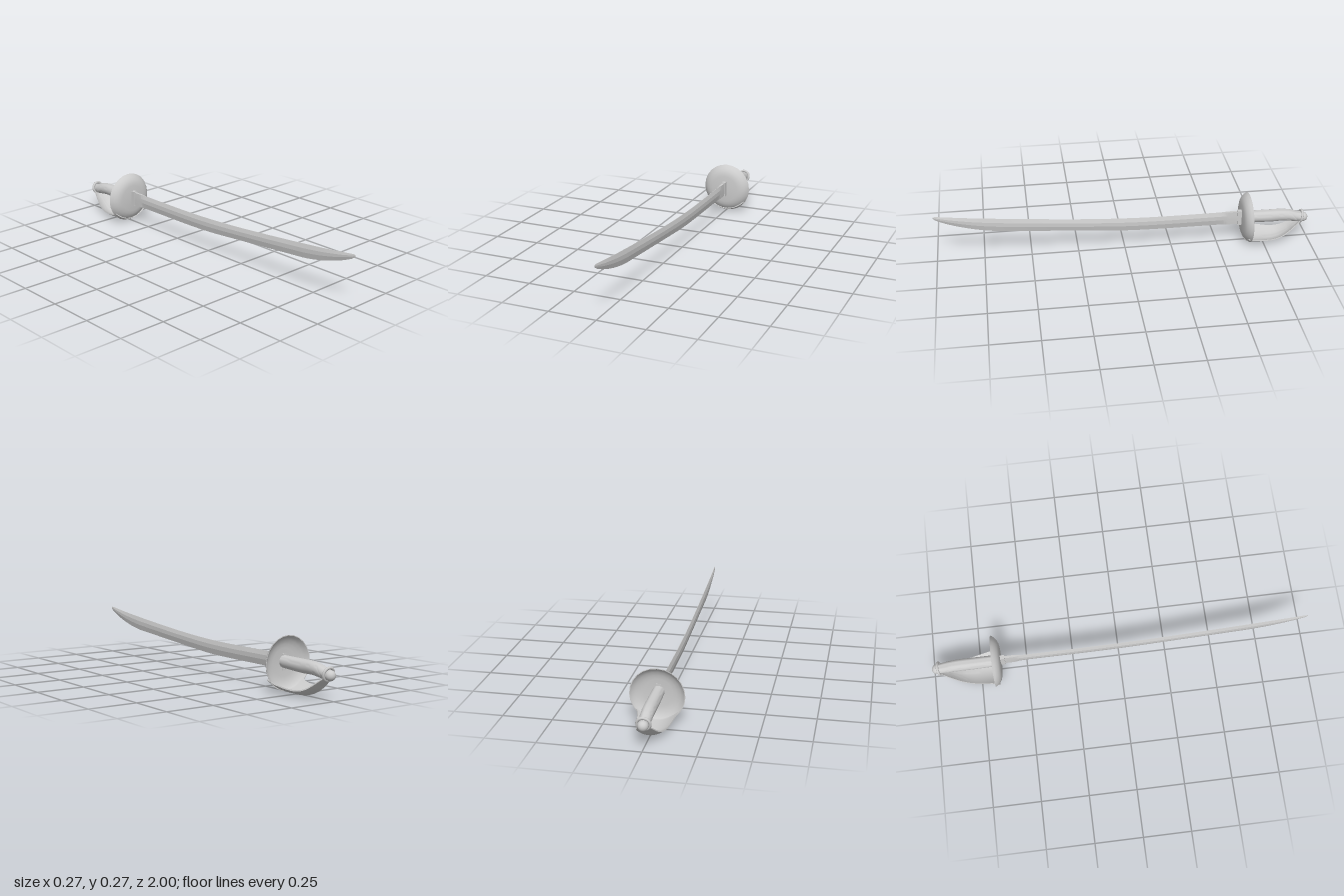
import * as THREE from 'three';
import { toCreasedNormals } from 'three/addons/utils/BufferGeometryUtils.js';

const material = new THREE.MeshStandardMaterial({ color: 0xcccccc, side: THREE.DoubleSide });

function add(group, name, geometry) {
  const mesh = new THREE.Mesh(geometry, material);
  mesh.name = name;
  group.add(mesh);
  return mesh;
}

// Smooth row of stations through a few key ones; each station is [z, a, b, ...].
function smooth(keys, steps) {
  const rows = [];
  for (let i = 0; i <= steps; i++) {
    const t = (i / steps) * (keys.length - 1);
    const k = Math.min(Math.floor(t), keys.length - 2);
    const f = t - k;
    const [p0, p1, p2, p3] = [k - 1, k, k + 1, k + 2].map(
      (n) => keys[THREE.MathUtils.clamp(n, 0, keys.length - 1)]);
    rows.push(p1.map((v, c) => {
      const m1 = (p2[c] - p0[c]) / 2, m2 = (p3[c] - p1[c]) / 2;
      return v + m1 * f + (3 * (p2[c] - v) - 2 * m1 - m2) * f * f
        + (2 * (v - p2[c]) + m1 + m2) * f * f * f;
    }));
  }
  return rows;
}

// Skin closed rings (counterclockwise seen from +z, ordered towards +z) and cap both ends.
function loft(rings, crease) {
  const n = rings[0].length, last = (rings.length - 1) * n, index = [];
  for (let i = 0; i < rings.length - 1; i++) {
    for (let j = 0; j < n; j++) {
      const a = i * n + j, b = i * n + (j + 1) % n;
      index.push(a, b, b + n, a, b + n, a + n);
    }
  }
  for (let j = 0; j < n / 2 - 1; j++) {
    const a = j, b = j + 1, c = n - 2 - j, d = n - 1 - j;
    index.push(a, c, b, a, d, c);
    index.push(last + a, last + b, last + c, last + a, last + c, last + d);
  }
  const g = new THREE.BufferGeometry();
  g.setAttribute('position', new THREE.Float32BufferAttribute(rings.flat(2), 3));
  g.setIndex(index);
  return toCreasedNormals(g, crease);
}

// Curved blade: z, lower edge, upper edge, half thickness, half thickness of the spine
function bladeGeometry() {
  const keys = [
    [-0.64, 0.107, 0.182, 0.0075, 0.006], [-0.56, 0.107, 0.182, 0.0075, 0.006],
    [-0.5, 0.107, 0.182, 0.0075, 0.001], [-0.2, 0.108, 0.182, 0.0075, 0.001],
    [0, 0.113, 0.187, 0.0075, 0.001], [0.2, 0.128, 0.198, 0.0075, 0.001],
    [0.4, 0.144, 0.214, 0.0075, 0.001], [0.6, 0.16, 0.232, 0.007, 0.001],
    [0.7, 0.169, 0.242, 0.007, 0.001], [0.8, 0.188, 0.252, 0.0065, 0.001],
    [0.9, 0.217, 0.264, 0.006, 0.001], [0.97, 0.245, 0.273, 0.004, 0.001],
    [0.993, 0.259, 0.275, 0.002, 0.0005], [1, 0.267, 0.273, 0.001, 0.0005],
  ];
  return loft(smooth(keys, 52).map(([z, lo, hi, w, s]) => {
    const y1 = lo + (hi - lo) * 0.4, y2 = lo + (hi - lo) * 0.7;
    return [[-s, lo, z], [s, lo, z], [w, y1, z], [w, y2, z],
      [s, hi, z], [-s, hi, z], [-w, y2, z], [-w, y1, z]];
  }), 0.15);
}

// Oval grip bending down at the rear: z, centre height, half width, half height
function gripGeometry() {
  const keys = [
    [-0.97, 0.122, 0.026, 0.026], [-0.94, 0.127, 0.028, 0.029], [-0.9, 0.136, 0.03, 0.032],
    [-0.85, 0.142, 0.031, 0.033], [-0.78, 0.142, 0.031, 0.034], [-0.64, 0.146, 0.03, 0.031],
  ];
  return loft(smooth(keys, 24).map(([z, y, w, h]) =>
    Array.from({ length: 24 }, (_, j) => {
      const a = (j / 24) * Math.PI * 2;
      return [w * Math.cos(a), y + h * Math.sin(a), z];
    })), 0.8);
}

// Trough-shaped knuckle guard: z, keel height, half width, side edge height
function knuckleGeometry() {
  const keys = [
    [-0.968, 0.113, 0.022, 0.118], [-0.95, 0.09, 0.03, 0.101], [-0.925, 0.069, 0.039, 0.082],
    [-0.9, 0.046, 0.047, 0.064], [-0.87, 0.026, 0.056, 0.046], [-0.84, 0.012, 0.064, 0.035],
    [-0.8, 0.004, 0.074, 0.03], [-0.75, 0.004, 0.084, 0.034], [-0.69, 0.006, 0.094, 0.045],
    [-0.665, 0.008, 0.106, 0.058], [-0.65, 0.016, 0.112, 0.066],
  ];
  const rows = smooth(keys, 40), n = 16, thick = 0.006;
  return loft(rows.map(([z, y, w, e], i) => {
    const p = rows[Math.max(i - 1, 0)], q = rows[Math.min(i + 1, rows.length - 1)];
    const len = Math.hypot(q[0] - p[0], q[1] - p[1]);
    const dz = -(q[1] - p[1]) / len * thick, dy = (q[0] - p[0]) / len * thick;
    const outer = Array.from({ length: n + 1 }, (_, j) => {
      const u = (j / n) * 2 - 1;
      return [u * w, y + (e - y) * u * u, z];
    });
    const inner = outer.map(([x, oy, oz]) => [x * 0.98, oy + dy, oz + dz]).reverse();
    return [...outer, ...inner];
  }), 0.8);
}

// Dished hand guard; the profile is radius and distance forward of the rim
function dishGeometry() {
  const front = [[0, 0.04], [0.075, 0.04], [0.092, 0.037], [0.108, 0.031], [0.121, 0.021], [0.131, 0.01], [0.137, 0]];
  const back = [[0.133, 0], [0.124, 0.011], [0.11, 0.021], [0.09, 0.028], [0.07, 0.031], [0, 0.031]];
  const points = [...front, ...back].reverse().map(([r, h]) => new THREE.Vector2(r, h));
  // reversed so the profile runs from the back, round the rim, to the front
  return toCreasedNormals(new THREE.LatheGeometry(points, 24).rotateX(Math.PI / 2), 0.7);
}

export function createModel() {
  const sword = new THREE.Group();
  sword.name = 'sword';

  add(sword, 'blade', bladeGeometry());
  add(sword, 'bladeCollar', new THREE.BoxGeometry(0.022, 0.084, 0.035)).position.set(0, 0.144, -0.627);
  add(sword, 'handGuard', dishGeometry()).position.set(0, 0.141, -0.672);
  add(sword, 'knuckleGuard', knuckleGeometry());
  add(sword, 'grip', gripGeometry());

  // Pommel: tilted ring and ball
  const ring = add(sword, 'pommelRing', new THREE.TorusGeometry(0.031, 0.007, 10, 28));
  ring.position.set(0, 0.126, -0.962);
  ring.rotation.x = -0.2;
  add(sword, 'pommel', new THREE.SphereGeometry(0.026, 24, 16)).position.set(0, 0.121, -0.974);

  return sword;
}
